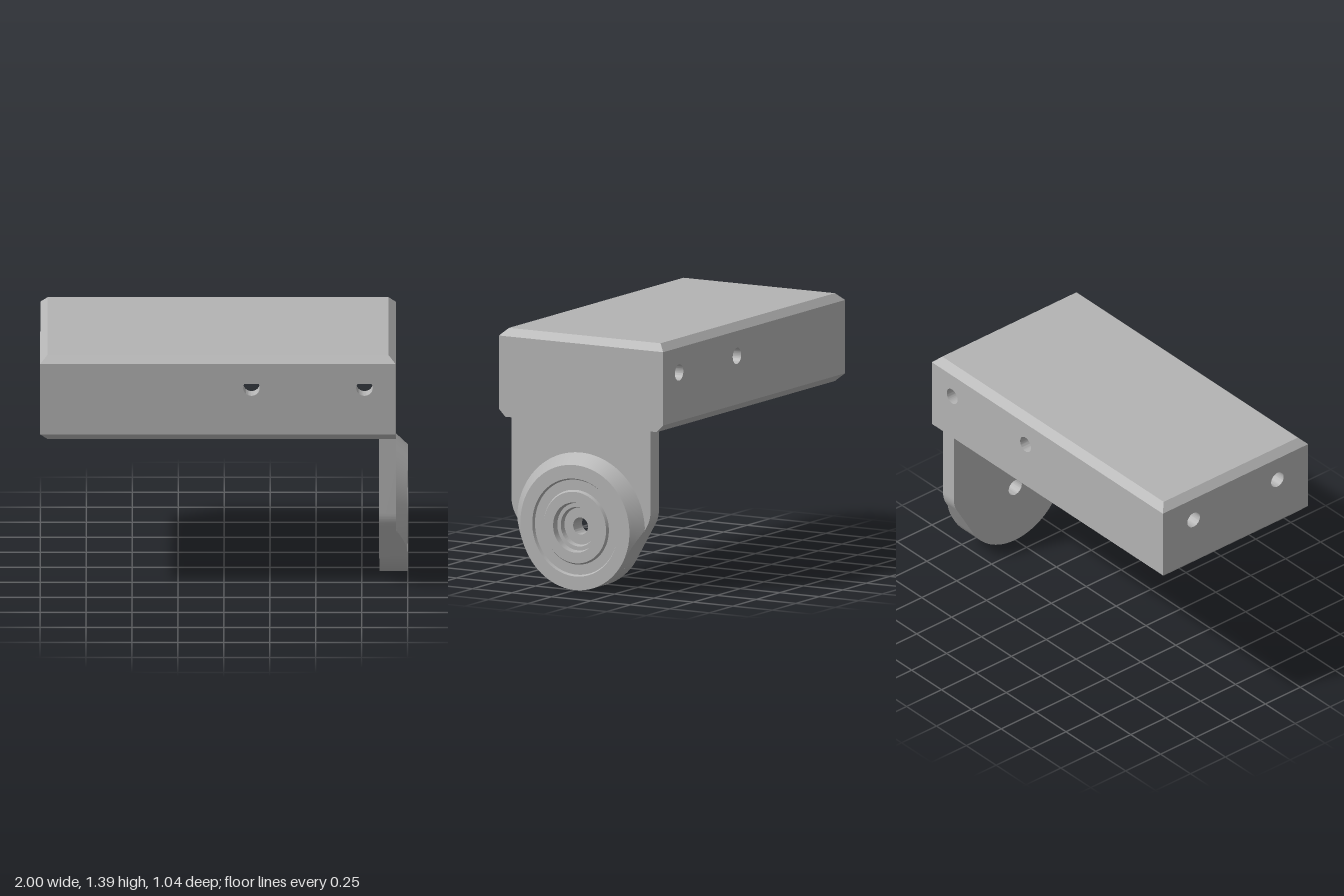
import * as THREE from 'three';
import { toCreasedNormals } from 'three/addons/utils/BufferGeometryUtils.js';

const X0 = -1, X1 = 0.935, Z = 0.52, CH = 0.04;   // housing extents and chamfer
const PLATE_X = 0.845, PLATE_Z = 0.44;            // mounting plate
const CY = 0.345, R = 0.345, R_BASE = 0.405;      // boss centre and radii
const BORE = 0.047;

const rectPoints = (a, b, c, d) => [[a, c], [b, c], [b, d], [a, d]].map(p => new THREE.Vector2(...p));
const rect = (a, b, c, d) => new THREE.Shape(rectPoints(a, b, c, d));
const rectHole = (a, b, c, d) => new THREE.Path(rectPoints(a, b, c, d));
const roundHole = (x, y, r) => new THREE.Path().absarc(x, y, r, 0, Math.PI * 2, true);

function extrude(shape, holes, depth) {
  shape.holes.push(...holes);
  return new THREE.ExtrudeGeometry(shape, { depth, bevelEnabled: false, curveSegments: 32 });
}
// Slab drawn in x/z, hanging down from the given top height
const slab = (shape, holes, top, bottom) =>
  extrude(shape, holes, top - bottom).rotateX(Math.PI / 2).translate(0, top, 0);
// Wall drawn in z/y, running along x
const crossWall = (shape, holes, from, to) =>
  extrude(shape, holes, to - from).rotateY(Math.PI / 2).translate(from, 0, 0);

// Pull the outer edge inwards at one height to make a chamfer
function chamfer(geo, height, rightEnd) {
  const p = geo.attributes.position;
  for (let i = 0; i < p.count; i++) {
    if (Math.abs(p.getY(i) - height) > 1e-4) continue;
    const x = p.getX(i), z = p.getZ(i);
    if (Math.abs(z) > Z - 1e-4) p.setZ(i, Math.sign(z) * (Z - CH));
    if (x < X0 + 1e-4) p.setX(i, X0 + CH);
    if (rightEnd && x > X1 - 1e-4) p.setX(i, X1 - CH);
  }
  geo.computeVertexNormals();
  return geo;
}

// Plate outline: straight sides, softened shoulders, tangent flanks, round foot
function plateShape(top) {
  const a = Math.PI / 6, tx = R * Math.cos(a), ty = CY - R * Math.sin(a);
  const kneeY = ty + (PLATE_Z - tx) * Math.sqrt(3);
  const s = new THREE.Shape();
  s.moveTo(-PLATE_Z, top);
  s.lineTo(-PLATE_Z, kneeY + 0.045);
  s.quadraticCurveTo(-PLATE_Z, kneeY, -PLATE_Z + 0.0225, kneeY - 0.039);
  s.lineTo(-tx, ty);
  s.absarc(0, CY, R, Math.PI + a, Math.PI * 2 - a, false);
  s.lineTo(PLATE_Z - 0.0225, kneeY - 0.039);
  s.quadraticCurveTo(PLATE_Z, kneeY, PLATE_Z, kneeY + 0.045);
  s.lineTo(PLATE_Z, top);
  return s;
}

// Conical boss side, trimmed where it would stick out past the plate flanks
function bossSide() {
  const n = 120, pos = [], idx = [];
  for (let i = 0; i <= n; i++) {
    const t = i / n * Math.PI * 2, c = Math.cos(t), s = Math.sin(t);
    const d = Math.atan2(s, Math.abs(c)) + Math.PI / 6;
    const limit = d <= 0 ? R : d < 1.2 ? R / Math.cos(d) : 1;
    const r = Math.min(R_BASE, limit);
    const trimX = X1 + (1 - X1) * (R_BASE - r) / (R_BASE - R);
    for (const [x, q] of [[X1 - 0.005, r], [trimX, r], [1, R]]) pos.push(x, CY + q * s, q * c);
    if (i === n) continue;
    for (let k = 0; k < 2; k++) {
      const a = i * 3 + k, b = a + 3;
      idx.push(a, a + 1, b, a + 1, b + 1, b);
    }
  }
  const g = new THREE.BufferGeometry();
  g.setAttribute('position', new THREE.Float32BufferAttribute(pos, 3));
  g.setIndex(idx);
  g.computeVertexNormals();
  return g;
}

export function createModel() {
  const group = new THREE.Group();
  const grey = new THREE.MeshStandardMaterial({ color: 0xb4b4b4 });
  grey.name = 'grey';
  const add = (name, geo, parent = group) => {
    const m = new THREE.Mesh(toCreasedNormals(geo, 0.45), grey);
    m.name = name;
    parent.add(m);
  };

  // Housing, hollow from below with two pockets
  const housing = new THREE.Group();
  housing.name = 'housing';
  group.add(housing);
  const ceil = 1.305, rimTop = 0.945, rimBottom = 0.905;
  const smallPocket = () => rectHole(-0.9, -0.02, -0.385, 0.385);
  const outline = () => rect(X0, X1, -Z, Z);
  add('roofChamfer', chamfer(slab(outline(), [], 1.39, 1.35), 1.39, true), housing);
  add('roof', slab(outline(), [], 1.35, ceil), housing);
  add('bottomRim', chamfer(slab(outline(),
    [smallPocket(), rectHole(0.1, PLATE_X, -PLATE_Z, PLATE_Z)], rimTop, rimBottom), rimBottom, false), housing);
  add('pocketDivider', slab(rect(-0.9, 0.1, -PLATE_Z, PLATE_Z), [smallPocket()], ceil, rimTop), housing);

  // Long side walls with screw holes
  for (const [name, z] of [['frontWall', PLATE_Z], ['backWall', -Z]]) {
    const holes = [0.15, 0.765].map(x => roundHole(x, 1.213, 0.045));
    add(name, extrude(rect(X0, X1, rimTop, ceil), holes, Z - PLATE_Z).translate(0, 0, z), housing);
  }
  // End wall with screw holes
  add('endWall', crossWall(rect(-PLATE_Z, PLATE_Z, rimTop, ceil),
    [-0.3, 0.3].map(z => roundHole(z, 1.213, 0.045)), X0, -0.9), housing);

  // Mounting plate, which also closes the other end of the housing
  add('mountingPlate', crossWall(plateShape(ceil), [roundHole(0, CY, BORE)], PLATE_X, X1));

  // Boss with ring groove, stepped recess and bore
  add('bossSide', bossSide());
  const profile = [[R, 1], [0.27, 1], [0.262, 0.985], [0.206, 0.985], [0.197, 1], [0.138, 1],
    [0.131, 0.967], [0.109, 0.967], [0.102, 0.94], [BORE, 0.94], [BORE, 0.934]]
    .map(p => new THREE.Vector2(...p));
  add('bossFace', new THREE.LatheGeometry(profile, 96).rotateZ(-Math.PI / 2).translate(0, CY, 0));

  return group;
}
